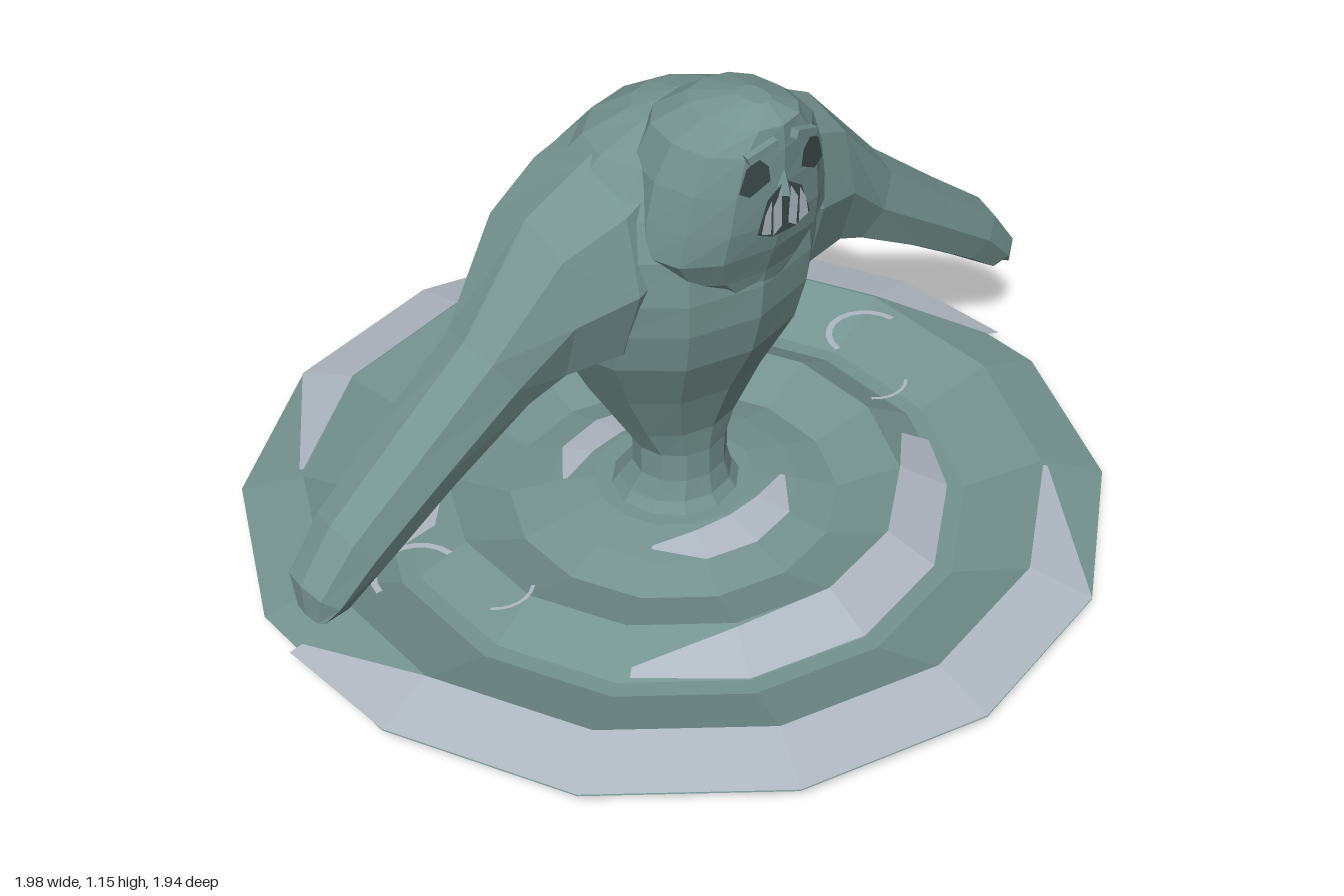
import * as THREE from 'three';

const skin = new THREE.MeshStandardMaterial({ color: 0x759390, side: THREE.DoubleSide });
skin.name = 'sea green';
const foam = new THREE.MeshStandardMaterial({ color: 0xb0b8c2, side: THREE.DoubleSide });
foam.name = 'pale foam';
const dark = new THREE.MeshStandardMaterial({ color: 0x3c4b4a, side: THREE.DoubleSide });
dark.name = 'dark hollow';

// Faceted surface from triangle corners
function faceted(tris) {
  const g = new THREE.BufferGeometry();
  g.setAttribute('position', new THREE.Float32BufferAttribute(tris.flat(), 3));
  g.computeVertexNormals();
  return g;
}

// Skin over rings of points, with fan caps at both ends
function loft(rings) {
  const t = [];
  const n = rings[0].length;
  for (let k = 0; k + 1 < rings.length; k++) {
    for (let i = 0; i < n; i++) {
      const j = (i + 1) % n;
      const [a, b, c, d] = [rings[k][i], rings[k][j], rings[k + 1][j], rings[k + 1][i]];
      t.push(a, b, c, a, c, d);
    }
  }
  const last = rings[rings.length - 1];
  for (let i = 1; i + 1 < n; i++) {
    t.push(rings[0][0], rings[0][i + 1], rings[0][i]);
    t.push(last[0], last[i], last[i + 1]);
  }
  return faceted(t);
}

// Squared-off oval: power below 1 flattens the sides
const soft = (v, p) => Math.sign(v) * Math.abs(v) ** p;

// Upright body from [y, half width, back z, front z]
function upright(sections, power) {
  return loft(sections.map(([y, rx, zb, zf]) => {
    const ring = [];
    for (let i = 0; i < 12; i++) {
      const a = (i / 12) * Math.PI * 2;
      ring.push([rx * soft(Math.sin(a), power), y,
        (zb + zf) / 2 + ((zf - zb) / 2) * soft(Math.cos(a), power)]);
    }
    return ring;
  }));
}

// Arm from [top x, top y, bottom x, bottom y, back z, front z]
function armGeometry(side) {
  const sections = [
    [0.12, 1.02, 0.15, 0.56, -0.19, 0.17],
    [0.24, 0.97, 0.26, 0.54, -0.20, 0.19],
    [0.38, 0.90, 0.38, 0.54, -0.16, 0.15],
    [0.56, 0.70, 0.45, 0.52, -0.08, 0.12],
    [0.75, 0.55, 0.64, 0.42, -0.07, 0.12],
    [0.91, 0.43, 0.82, 0.31, -0.05, 0.12],
    [0.99, 0.32, 0.91, 0.25, -0.04, 0.11],
    [0.99, 0.25, 0.96, 0.25, 0.00, 0.09],
  ];
  return loft(sections.map(([tx, ty, bx, by, zb, zf]) => {
    const ring = [];
    for (let i = 0; i < 8; i++) {
      const a = (i / 8) * Math.PI * 2;
      const u = (1 + soft(Math.cos(a), 0.8)) / 2;
      ring.push([side * (bx + (tx - bx) * u), by + (ty - by) * u,
        (zb + zf) / 2 + side * ((zf - zb) / 2) * soft(Math.sin(a), 0.8)]);
    }
    return ring;
  }));
}

// Ripple profile [radius, height], from the outer rim inwards
const ripple = [[0.97, 0.035], [0.83, 0.07], [0.66, 0], [0.62, 0], [0.51, 0.06],
  [0.37, 0.01], [0.28, 0.035], [0.18, 0.055], [0.001, 0.055]];
const STEP = (Math.PI * 2) / 14;

function rippleHeight(r) {
  for (let i = 0; i + 1 < ripple.length; i++) {
    const [r0, y0] = ripple[i];
    const [r1, y1] = ripple[i + 1];
    if (r <= r0 && r >= r1) return y0 + ((y1 - y0) * (r0 - r)) / (r0 - r1);
  }
  return 0.035;
}

// Foam crescent on the water from [step, inner radius, outer radius]
function crescent(stations, turn) {
  const at = (s, r) => {
    const a = s * STEP + turn;
    return [r * Math.sin(a), rippleHeight(r) + 0.004, r * Math.cos(a)];
  };
  const t = [];
  for (let i = 0; i + 1 < stations.length; i++) {
    const [s0, i0, o0] = stations[i];
    const [s1, i1, o1] = stations[i + 1];
    t.push(at(s0, i0), at(s0, o0), at(s1, o1), at(s0, i0), at(s1, o1), at(s1, i1));
  }
  return faceted(t);
}

function plate(points) {
  return new THREE.ShapeGeometry(new THREE.Shape(points.map(([x, y]) => new THREE.Vector2(x, y))));
}

export function createModel() {
  const model = new THREE.Group();
  const add = (name, geometry, material, x = 0, y = 0, z = 0) => {
    const mesh = new THREE.Mesh(geometry, material);
    mesh.name = name;
    mesh.position.set(x, y, z);
    model.add(mesh);
    return mesh;
  };

  // Rippled water disc
  const profile = ripple.map(([r, y]) => new THREE.Vector2(r, y)).reverse();
  const water = new THREE.LatheGeometry(profile, 14).toNonIndexed();
  water.computeVertexNormals();
  add('water', water, skin);

  // Foam, repeated half a turn round
  for (const turn of [0, Math.PI]) {
    add('outerFoam', crescent([[1.95, 0.83, 0.84], [1, 0.83, 0.97], [0, 0.83, 0.97], [-1, 0.83, 0.97],
      [-2, 0.83, 0.97], [-3, 0.83, 0.97], [-3.7, 0.94, 0.97]], turn), foam);
    add('middleFoam', crescent([[2.6, 0.55, 0.62], [2, 0.51, 0.62], [1, 0.51, 0.62], [0, 0.51, 0.62],
      [-1, 0.52, 0.62], [-1.9, 0.59, 0.61]], turn), foam);
    add('innerFoam', crescent([[2, 0.24, 0.25], [1, 0.2, 0.28], [0, 0.19, 0.28], [-1, 0.2, 0.28],
      [-2, 0.24, 0.25]], turn), foam);
  }

  // Body rising out of the water
  add('torso', upright([
    [0.05, 0.15, -0.14, 0.15], [0.08, 0.13, -0.12, 0.13], [0.13, 0.11, -0.08, 0.12],
    [0.2, 0.11, -0.08, 0.12], [0.27, 0.15, -0.12, 0.13], [0.4, 0.225, -0.21, 0.18],
    [0.54, 0.30, -0.27, 0.25], [0.64, 0.32, -0.285, 0.275], [0.72, 0.33, -0.28, 0.28],
    [0.82, 0.32, -0.26, 0.27], [0.9, 0.29, -0.235, 0.24], [0.99, 0.21, -0.16, 0.2],
    [1.04, 0.11, -0.08, 0.15], [1.06, 0.04, 0.0, 0.1],
  ], 1), skin);

  // Head
  add('head', upright([
    [0.69, 0.06, 0.1, 0.27], [0.76, 0.17, 0.05, 0.285], [0.83, 0.22, 0.02, 0.31],
    [0.9, 0.21, 0, 0.325], [0.99, 0.19, 0, 0.33], [1.07, 0.155, 0.02, 0.33],
    [1.12, 0.095, 0.09, 0.325], [1.15, 0.025, 0.2, 0.28],
  ], 0.85), skin);

  for (const side of [1, -1]) {
    add('arm', armGeometry(side), skin);

    // Hollow eye and the ridge above it
    const eye = add('eye', plate([[-0.03, -0.02], [0.015, -0.045], [0.04, -0.03],
      [0.025, 0.02], [0, 0.04], [-0.025, 0.015]].map(([x, y]) => [x * side, y])), dark,
    side * 0.07, 1.035, 0.329);
    eye.rotation.y = side * 0.2;
    const brow = add('brow', new THREE.BoxGeometry(0.07, 0.018, 0.02), skin, side * 0.055, 1.083, 0.322);
    brow.rotation.set(0, side * 0.2, -side * 0.35);

    // Teeth
    add('tooth', plate([[0.008, 0.90], [0.03, 0.885], [0.033, 0.95], [0.012, 0.985]]
      .map(([x, y]) => [x * side, y])), foam, 0, 0, 0.337);
    add('tooth', plate([[0.037, 0.89], [0.062, 0.9], [0.054, 0.94], [0.037, 0.97]]
      .map(([x, y]) => [x * side, y])), foam, 0, 0, 0.337);

    // Curls of spray beside the body
    const curl = new THREE.RingGeometry(0.085, 0.1, 10, 1, 0.1, Math.PI * 0.95);
    curl.rotateX(-Math.PI / 2);
    add('sprayCurl', curl, foam, side * 0.66, 0.095, -0.06);
    const drop = new THREE.RingGeometry(0.075, 0.083, 6, 1, Math.PI * 1.25, Math.PI * 0.5);
    drop.rotateX(-Math.PI / 2);
    add('sprayDrop', drop, foam, side * 0.55, 0.095, 0.07);
  }

  // Mouth and nose
  add('mouth', plate([[-0.07, 0.9], [-0.03, 0.88], [0.03, 0.88], [0.07, 0.9],
    [0.045, 0.97], [0, 1.0], [-0.045, 0.97]]), dark, 0, 0, 0.333);
  const nose = new THREE.ConeGeometry(0.022, 0.06, 4).toNonIndexed();
  nose.computeVertexNormals();
  add('nose', nose, skin, 0, 1.0, 0.328);

  // Foam streak across the back
  const streak = [[-0.19, 0.66, 0.675, -0.235], [-0.1, 0.63, 0.665, -0.265], [0, 0.63, 0.66, -0.291],
    [0.1, 0.635, 0.665, -0.268], [0.19, 0.65, 0.66, -0.238]];
  const t = [];
  for (let i = 0; i + 1 < streak.length; i++) {
    const [x0, b0, t0, z0] = streak[i];
    const [x1, b1, t1, z1] = streak[i + 1];
    t.push([x0, b0, z0], [x0, t0, z0], [x1, t1, z1], [x0, b0, z0], [x1, t1, z1], [x1, b1, z1]);
  }
  add('backStreak', faceted(t), foam);

  return model;
}
